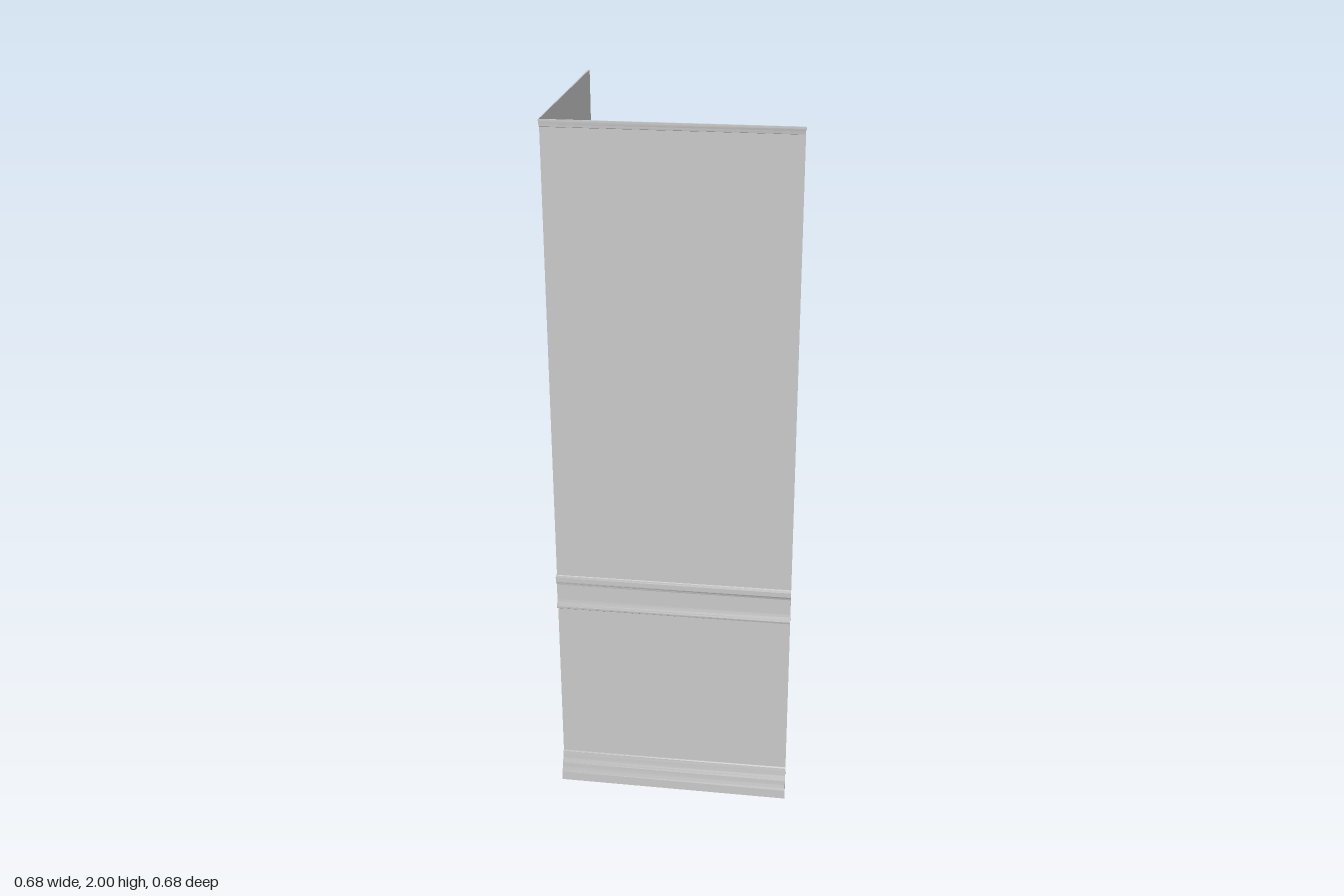
import * as THREE from 'three';

const WALL = 0.327;  // distance of both wall faces from the centre
const END = 0.339;   // free edge of each wall
const CORNER_SCALE = 0.5; // mouldings flatten towards the corner

const material = new THREE.MeshStandardMaterial({ color: 0xcccccc, side: THREE.DoubleSide });

// Sweeps a [depth, height] profile along one wall, mitred at the corner.
// With side = true the strip is mirrored over the diagonal onto the side wall.
function sweep(name, profile, side, capped) {
  const positions = [];
  const place = (x, y, z) => (side ? [-z, y, -x] : [x, y, z]);
  const corner = ([d, y]) => place(-WALL - d * CORNER_SCALE, y, WALL + d * CORNER_SCALE);
  const end = ([d, y]) => place(END, y, WALL + d);
  const quad = (a, b, c, d) => {
    const order = side ? [a, c, b, a, d, c] : [a, b, c, a, c, d];
    order.forEach((p) => positions.push(...p));
  };
  for (let i = 0; i < profile.length - 1; i++) {
    const p = profile[i], q = profile[i + 1];
    quad(corner(p), end(p), end(q), corner(q));
    // Close the free end back to the wall face
    if (capped && p[1] !== q[1]) quad(end(p), end([0, p[1]]), end([0, q[1]]), end(q));
  }
  const geometry = new THREE.BufferGeometry();
  geometry.setAttribute('position', new THREE.Float32BufferAttribute(positions, 3));
  geometry.computeVertexNormals();
  const mesh = new THREE.Mesh(geometry, material);
  mesh.name = name;
  return mesh;
}

const wall = [[0, 0], [0, 2]];

// Stepped skirting with coves near its top
const baseboard = [
  [0, 0], [0.012, 0], [0.012, 0.028], [0.010, 0.036], [0.0085, 0.046],
  [0.008, 0.06], [0.006, 0.068], [0.004, 0.076], [0.003, 0.09], [0.002, 0.1], [0, 0.104],
];

// Rail with a raised bead at each edge and a shallow middle
const chairRail = [
  [0, 0.594], [0.005, 0.596], [0.0065, 0.602], [0.005, 0.609], [0.003, 0.617],
  [0.002, 0.625], [0.002, 0.672], [0.0035, 0.677], [0.006, 0.682],
  [0.0065, 0.696], [0.005, 0.702], [0, 0.703],
];

// Small trim along the top
const crown = [[0, 1.98], [0.002, 1.981], [0.003, 1.988], [0.0045, 1.995], [0.0045, 2], [0, 2]];

export function createModel() {
  const model = new THREE.Group();
  model.name = 'wallCorner';
  for (const side of [false, true]) {
    const panel = new THREE.Group();
    panel.name = side ? 'sideWall' : 'frontWall';
    panel.add(
      sweep('wallPanel', wall, side, false),
      sweep('baseboard', baseboard, side, true),
      sweep('chairRail', chairRail, side, true),
      sweep('crownTrim', crown, side, true),
    );
    model.add(panel);
  }
  return model;
}
